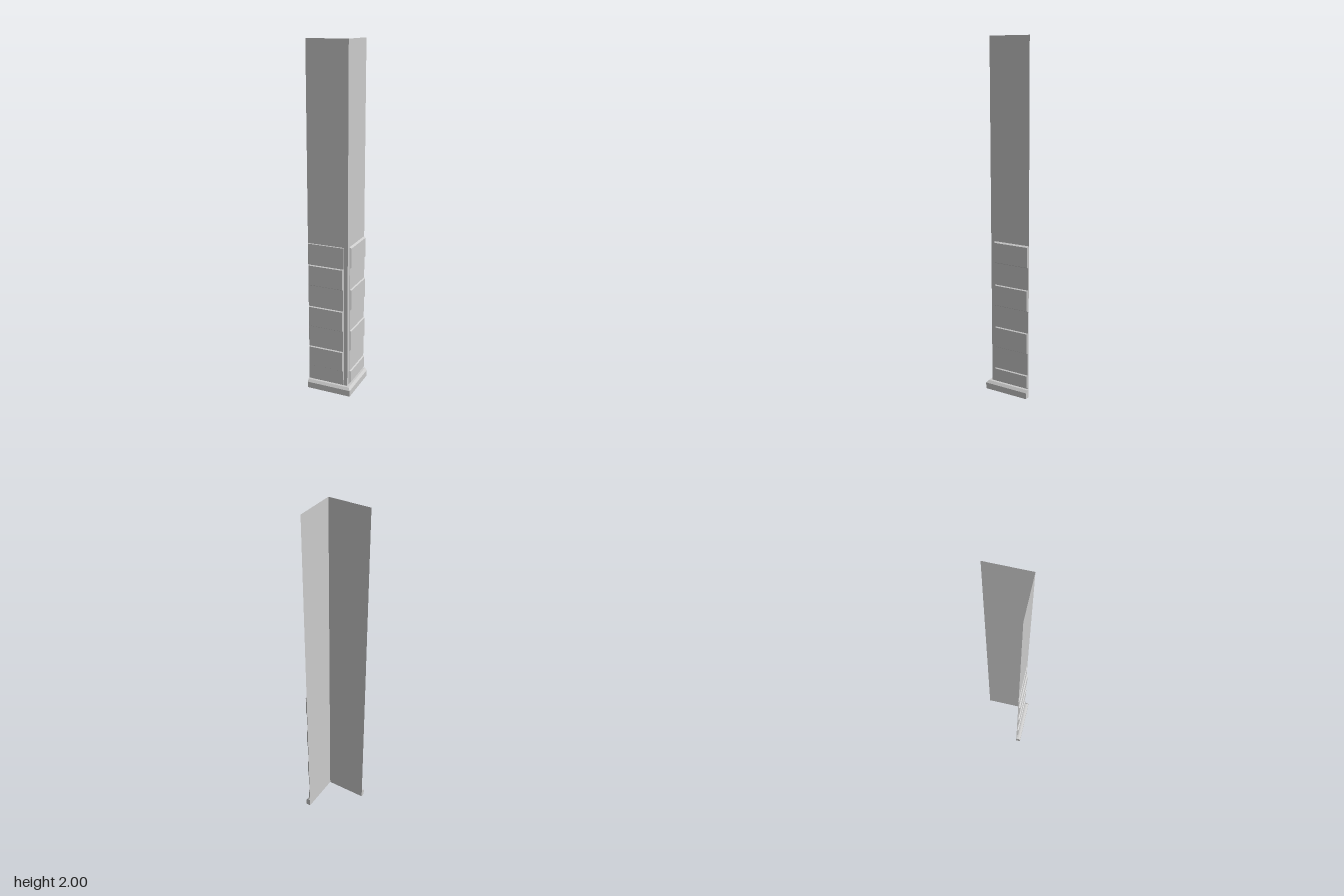
import * as THREE from 'three';

const material = new THREE.MeshStandardMaterial({
  color: 0xcccccc, flatShading: true, side: THREE.DoubleSide,
});
const FACE = 0.107;   // distance of both wall sheets from the centre
const END = -0.135;   // free edge of each wall
const PANEL_END = 0.085;

// Places a piece on one of the two walls; u runs along the wall, d is its depth
function place(parent, geometry, name, side, u, y, d) {
  const mesh = new THREE.Mesh(geometry, material);
  mesh.name = name;
  if (side === 'front') mesh.position.set(u, y, d);
  else {
    mesh.rotation.y = Math.PI / 2;
    mesh.position.set(d, y, u);
  }
  parent.add(mesh);
}

// Box whose outer face is inset to give sloping edges
function bevelledPanel(width, height, depth, inset) {
  const geometry = new THREE.BoxGeometry(width, height, depth);
  const p = geometry.attributes.position;
  for (let i = 0; i < p.count; i++) {
    if (p.getZ(i) > 0) {
      p.setX(i, p.getX(i) - Math.sign(p.getX(i)) * inset);
      p.setY(i, p.getY(i) - Math.sign(p.getY(i)) * inset);
    }
  }
  geometry.computeVertexNormals();
  return geometry;
}

// Moulding profile swept round the corner with a mitre
function plinthGeometry() {
  const profile = [[FACE, 0], [0.134, 0], [0.134, 0.036], [0.122, 0.05], [FACE, 0.05]];
  const n = profile.length;
  const positions = [];
  for (const [d, y] of profile) positions.push(END, y, d);
  for (const [d, y] of profile) positions.push(d, y, d);
  for (const [d, y] of profile) positions.push(d, y, END);
  const index = [];
  for (let s = 0; s < 2; s++) {
    for (let i = 0; i < n; i++) {
      const a = s * n + i, b = s * n + (i + 1) % n;
      index.push(a, a + n, b, b, a + n, b + n);
    }
  }
  // End caps
  for (let i = 1; i < n - 1; i++) {
    index.push(0, i, i + 1);
    index.push(2 * n, 2 * n + i + 1, 2 * n + i);
  }
  const geometry = new THREE.BufferGeometry();
  geometry.setAttribute('position', new THREE.Float32BufferAttribute(positions, 3));
  geometry.setIndex(index);
  geometry.computeVertexNormals();
  return geometry;
}

export function createModel() {
  const model = new THREE.Group();
  model.name = 'cornerPilaster';

  // Staggered courses of raised blocks, as [bottom, top]
  const courses = {
    front: [[0.137, 0.267], [0.388, 0.518], [0.64, 0.77]],
    right: [[0.055, 0.138], [0.262, 0.392], [0.514, 0.644], [0.766, 0.893]],
  };

  for (const side of ['front', 'right']) {
    const wall = new THREE.Group();
    wall.name = side + 'Wall';

    // Tall thin sheet
    place(wall, new THREE.PlaneGeometry(FACE - END, 2), 'sheet', side, (FACE + END) / 2, 1, FACE);

    // Thin backing strip behind the blocks
    const width = PANEL_END - END, u = (PANEL_END + END) / 2;
    place(wall, bevelledPanel(width, 0.843, 0.004, 0.003), 'backing', side, u, 0.4715, FACE + 0.002);

    // Raised blocks
    for (const [bottom, top] of courses[side]) {
      place(wall, bevelledPanel(width, top - bottom, 0.011, 0.007), 'block', side,
        u, (bottom + top) / 2, FACE + 0.0055);
    }
    model.add(wall);
  }

  // Base moulding
  const plinth = new THREE.Mesh(plinthGeometry(), material);
  plinth.name = 'plinth';
  model.add(plinth);
  return model;
}
